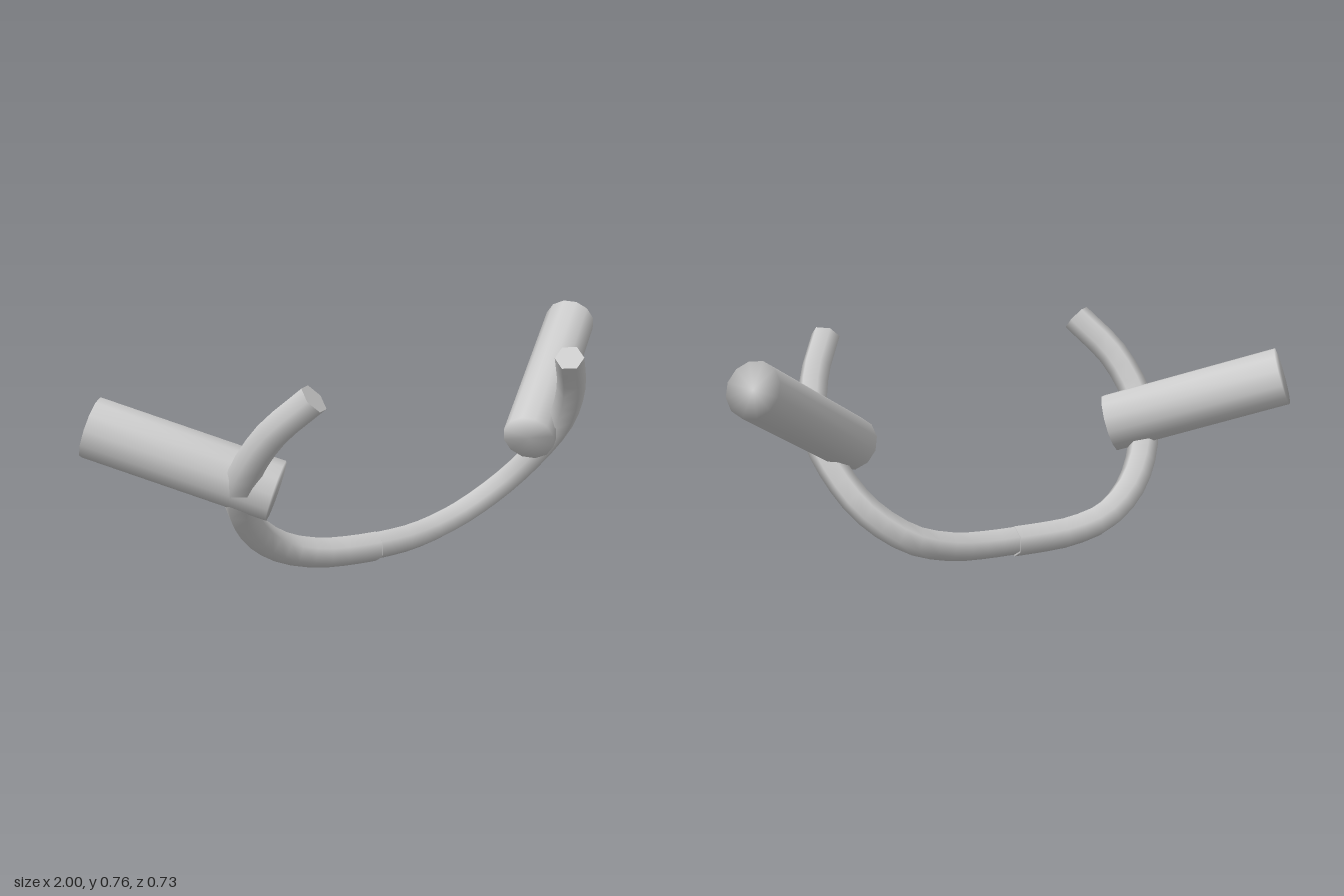
import * as THREE from 'three';
import { mergeVertices } from 'three/addons/utils/BufferGeometryUtils.js';

const material = new THREE.MeshStandardMaterial({ color: 0xcccccc });
const vec = (p) => new THREE.Vector3(...p);

// Six-sided bent bar along a smooth path, with a flat fan closing each end
function bar(name, points, radius) {
  const steps = 20, sides = 6;
  const curve = new THREE.CatmullRomCurve3(points.map(vec));
  const tube = new THREE.TubeGeometry(curve, steps, radius, sides);
  const group = new THREE.Group();
  group.name = name;
  const body = new THREE.Mesh(tube, material);
  body.name = name + 'Tube';
  group.add(body);

  for (const end of [0, steps]) {
    const pos = [...curve.getPointAt(end / steps).toArray()];
    const index = [];
    for (let i = 0; i < sides; i++) {
      const v = new THREE.Vector3().fromBufferAttribute(tube.attributes.position, end * (sides + 1) + i);
      pos.push(v.x, v.y, v.z);
      const a = i + 1, b = ((i + 1) % sides) + 1;
      index.push(0, ...(end ? [b, a] : [a, b]));
    }
    const geo = new THREE.BufferGeometry();
    geo.setAttribute('position', new THREE.Float32BufferAttribute(pos, 3));
    geo.setIndex(index);
    geo.computeVertexNormals();
    // Make sure the cap faces out of the bar
    const out = curve.getTangentAt(end / steps).multiplyScalar(end ? 1 : -1);
    if (new THREE.Vector3().fromBufferAttribute(geo.attributes.normal, 0).dot(out) < 0) {
      geo.setIndex(index.reverse());
      geo.computeVertexNormals();
    }
    const cap = new THREE.Mesh(geo, material);
    cap.name = name + (end ? 'TipCap' : 'CentreCap');
    group.add(cap);
  }
  return group;
}

// Thick grip between two points, normals smoothed over the rims
function grip(name, from, to, radius) {
  const a = vec(from), b = vec(to);
  let geo = new THREE.CylinderGeometry(radius, radius, a.distanceTo(b), 12);
  geo.deleteAttribute('normal');
  geo.deleteAttribute('uv');
  geo = mergeVertices(geo);
  geo.computeVertexNormals();
  const mesh = new THREE.Mesh(geo, material);
  mesh.name = name;
  mesh.position.copy(a).add(b).multiplyScalar(0.5);
  mesh.quaternion.setFromUnitVectors(new THREE.Vector3(0, 1, 0), b.sub(a).normalize());
  return mesh;
}

export function createModel() {
  const model = new THREE.Group();
  model.name = 'handlebar';

  // Two bent halves meeting near the middle
  model.add(bar('leftBar', [
    [-0.02, 0.057, -0.085], [0.1, 0.06, -0.09], [0.22, 0.075, -0.103], [0.36, 0.12, -0.103],
    [0.49, 0.22, -0.05], [0.565, 0.36, 0.055], [0.58, 0.46, 0.13], [0.54, 0.59, 0.225], [0.46, 0.71, 0.315],
  ], 0.047));
  model.add(bar('rightBar', [
    [-0.02, 0.055, -0.085], [-0.1, 0.056, -0.088], [-0.22, 0.064, -0.096], [-0.35, 0.10, -0.1],
    [-0.47, 0.18, -0.065], [-0.565, 0.30, 0.012], [-0.605, 0.42, 0.105], [-0.57, 0.57, 0.215], [-0.48, 0.695, 0.325],
  ], 0.051));

  // Grips sweeping outward, up and back
  model.add(grip('leftGrip', [0.468, 0.398, 0.095], [0.932, 0.687, -0.297], 0.087));
  model.add(grip('rightGrip', [-0.489, 0.363, 0.1], [-0.936, 0.547, -0.257], 0.098));
  return model;
}
